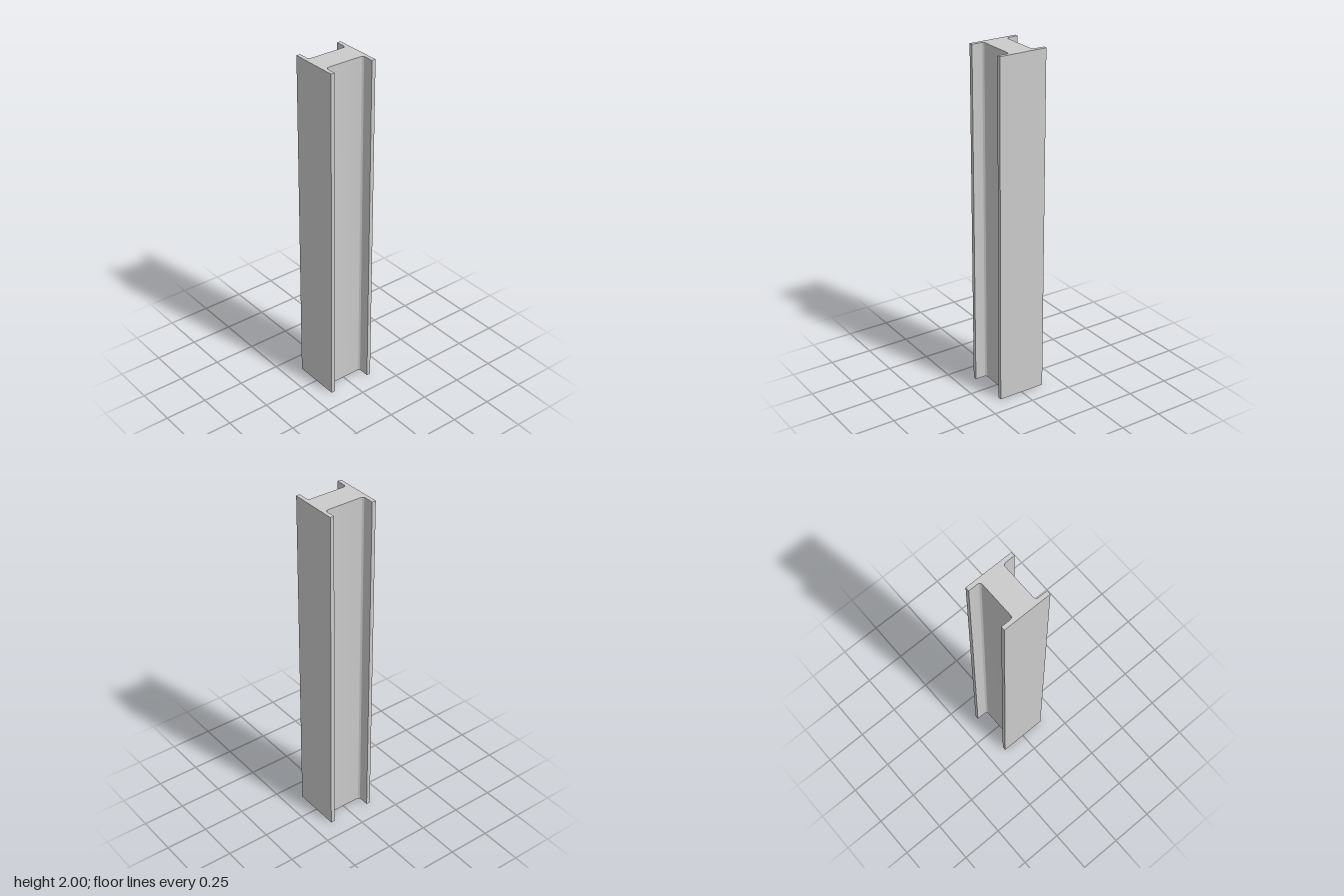
import * as THREE from 'three';
import { toCreasedNormals } from 'three/addons/utils/BufferGeometryUtils.js';

const HEIGHT = 2;
const HALF = 0.142;      // half width and half depth of the section
const INNER = 0.119;     // inner face of each flange
const WEB = 0.071;       // half thickness of the web
const FILLET = 0.017;    // radius between web and flange

// H-shaped cross-section, drawn anticlockwise
function beamSection() {
  const s = new THREE.Shape();
  const cx = INNER - FILLET, cy = WEB + FILLET, q = Math.PI / 2;
  const fillet = (x, y, start) => s.absarc(x, y, FILLET, start, start - q, true);

  s.moveTo(HALF, -HALF);
  s.lineTo(HALF, HALF);
  s.lineTo(INNER, HALF);
  fillet(cx, cy, 0);
  fillet(-cx, cy, -q);
  s.lineTo(-INNER, HALF);
  s.lineTo(-HALF, HALF);
  s.lineTo(-HALF, -HALF);
  s.lineTo(-INNER, -HALF);
  fillet(-cx, -cy, 2 * q);
  fillet(cx, -cy, q);
  s.lineTo(INNER, -HALF);
  s.closePath();
  return s;
}

export function createModel() {
  const group = new THREE.Group();
  group.name = 'steelColumn';

  // Section swept straight up, with smooth fillets and sharp flange edges
  const swept = new THREE.ExtrudeGeometry(beamSection(), {
    depth: HEIGHT, bevelEnabled: false, curveSegments: 8,
  });
  swept.rotateX(-Math.PI / 2);

  const beam = new THREE.Mesh(
    toCreasedNormals(swept, 0.6),
    new THREE.MeshStandardMaterial({ color: 0xcccccc }),
  );
  beam.name = 'hBeam';
  group.add(beam);
  return group;
}
